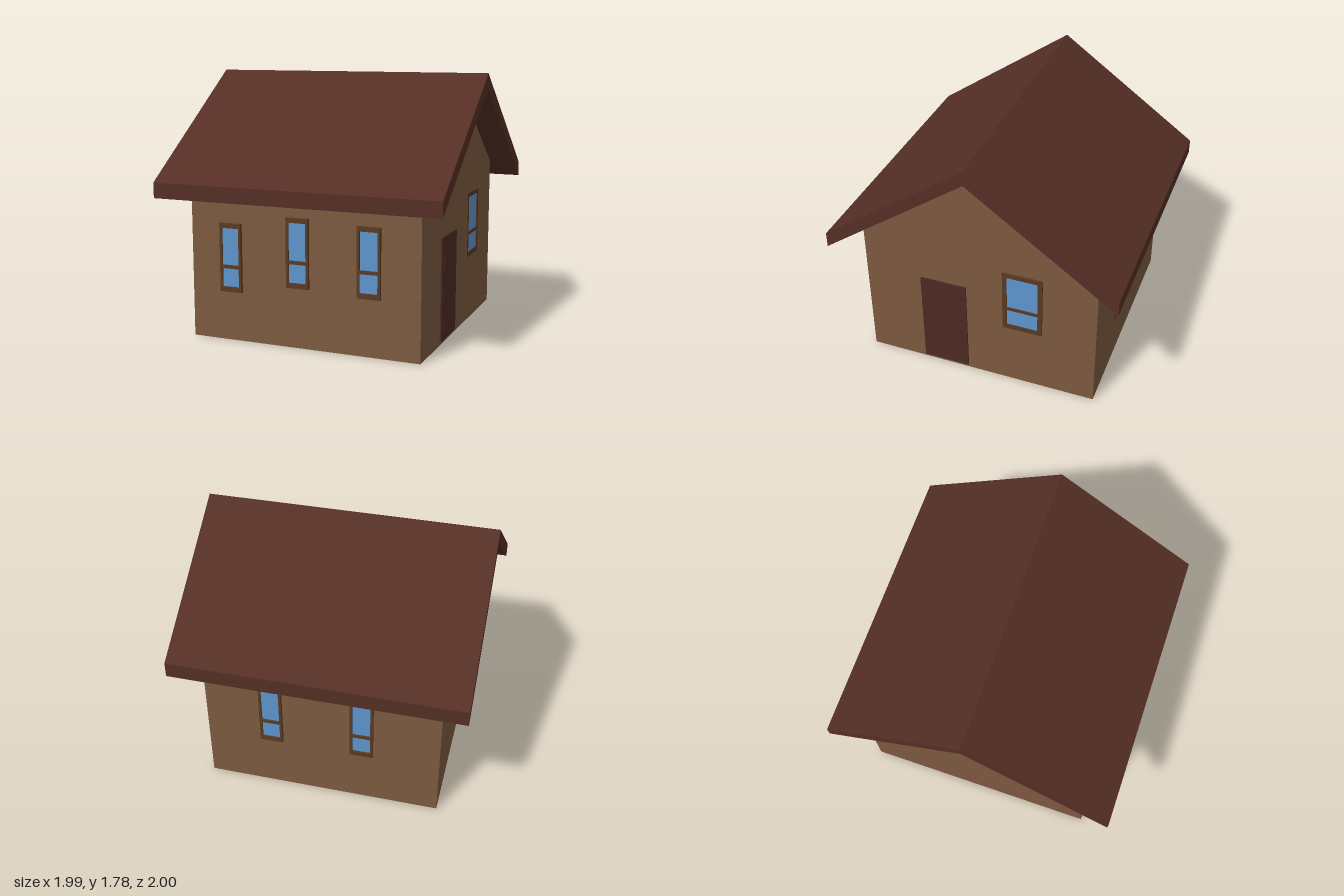
import * as THREE from 'three';

const W = 0.812, D = 0.825; // half width (x) and half depth (z) of the walls
const material = (color) => new THREE.MeshStandardMaterial({ color });
const mats = {
  wall: material(0x7d5a3f),
  roof: material(0x552f25),
  frame: material(0x5a3b23),
  glass: material(0x5e95cd),
  door: material(0x4c2a22),
};

function add(parent, name, geometry, mat, x = 0, y = 0, z = 0) {
  const mesh = new THREE.Mesh(geometry, mat);
  mesh.name = name;
  mesh.position.set(x, y, z);
  parent.add(mesh);
  return mesh;
}

// Extrude a (z, y) outline along x, centred on x = 0
function extrudeAlongX(points, length) {
  const shape = new THREE.Shape(points.map(([x, y]) => new THREE.Vector2(x, y)));
  const g = new THREE.ExtrudeGeometry(shape, { depth: length, bevelEnabled: false });
  return g.translate(0, 0, -length / 2).rotateY(Math.PI / 2);
}

function rect(Type, x0, y0, x1, y1) {
  return new Type([[x0, y0], [x1, y0], [x1, y1], [x0, y1]].map(([x, y]) => new THREE.Vector2(x, y)));
}

// Two-pane window; its origin is the middle of the bottom edge, on the wall
function makeWindow(name, width, border, depth) {
  const h = 0.465, hw = width / 2, gw = hw - border;
  const group = new THREE.Group();
  group.name = name;
  const shape = rect(THREE.Shape, -hw, 0, hw, h);
  shape.holes.push(rect(THREE.Path, -gw, 0.035, gw, 0.16), rect(THREE.Path, -gw, 0.183, gw, 0.433));
  add(group, 'windowFrame', new THREE.ExtrudeGeometry(shape, { depth, bevelEnabled: false }), mats.frame);
  add(group, 'windowGlass', new THREE.BoxGeometry(2 * gw + 0.01, 0.41, depth * 0.5), mats.glass, 0, 0.234, depth * 0.25);
  return group;
}

export function createModel() {
  const house = new THREE.Group();
  house.name = 'house';

  // Walls with gables
  add(house, 'walls', extrudeAlongX([[-D, 0], [D, 0], [D, 1.09], [0, 1.685], [-D, 1.09]], 2 * W), mats.wall);

  // Overhanging gable roof
  add(house, 'roof', extrudeAlongX(
    [[-1, 0.965], [0, 1.68], [1, 0.965], [1, 1.07], [0, 1.78], [-1, 1.07]], 1.99), mats.roof);

  // Front windows
  [[-0.515, 0.335], [-0.027, 0.405], [0.468, 0.385]].forEach(([x, y], i) => {
    const w = makeWindow(`frontWindow${i + 1}`, 0.158, 0.018, 0.02);
    w.position.set(x, y, D);
    house.add(w);
  });

  // Back windows
  [0.35, -0.28].forEach((x, i) => {
    const w = makeWindow(`backWindow${i + 1}`, 0.158, 0.018, 0.02);
    w.position.set(x, 0.393, -D);
    w.rotation.y = Math.PI;
    house.add(w);
  });

  // Wide window on the left gable wall
  const side = makeWindow('sideWindow', 0.278, 0.031, 0.012);
  side.position.set(W, 0.47, -0.313);
  side.rotation.y = Math.PI / 2;
  house.add(side);

  // Door beside it, with two shallow panels
  const door = new THREE.Group();
  door.name = 'door';
  door.position.set(W, 0.022, 0.255);
  door.rotation.y = Math.PI / 2;
  add(door, 'doorLeaf', new THREE.BoxGeometry(0.33, 0.705, 0.01), mats.door, 0, 0.3525, 0.005);
  for (const [y, h] of [[0.2, 0.3], [0.52, 0.28]]) {
    add(door, 'doorPanel', new THREE.BoxGeometry(0.25, h, 0.002), mats.door, 0, y, 0.011);
  }
  house.add(door);

  return house;
}
